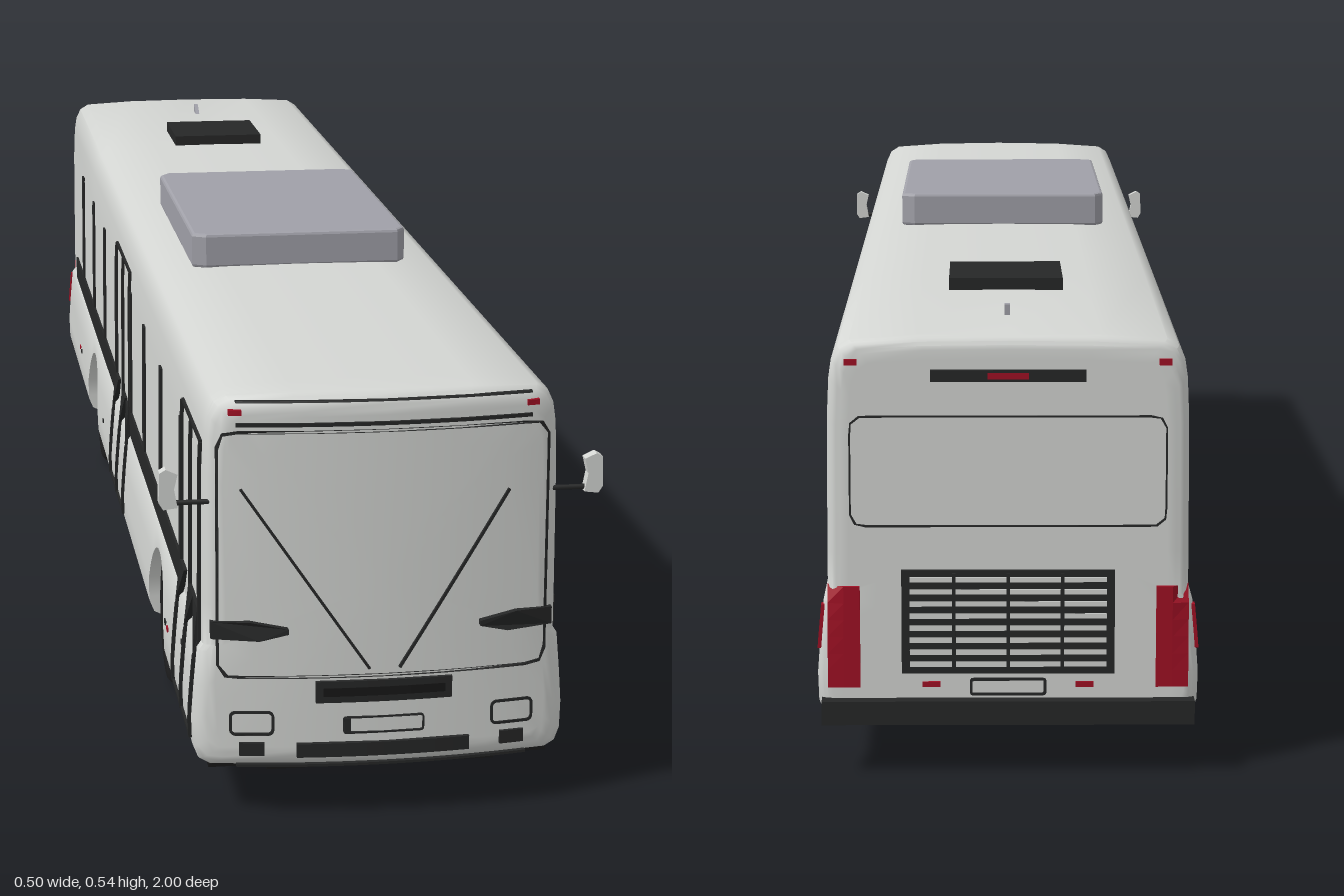
import * as THREE from 'three';
import { toCreasedNormals } from 'three/addons/utils/BufferGeometryUtils.js';

const mat = (name, color) => Object.assign(new THREE.MeshStandardMaterial({ color }), { name });
const ZF = 0.995, ZB = 0.985, CY = 0.275, FLOOR = 0.057;
const AXLES = [-0.45, 0.55], WHEEL_Y = 0.083, ARCH_R = 0.092, ARCH_IN = 0.13;

// Half cross-section of the body shell, sill to roof centre
const PROFILE = [[0.193, 0.057], [0.205, 0.063], [0.211, 0.078], [0.212, 0.11], [0.209, 0.15], [0.205, 0.193],
  [0.2, 0.2], [0.2, 0.25], [0.199, 0.4], [0.197, 0.445], [0.194, 0.465], [0.187, 0.48], [0.174, 0.488], [0.1, 0.492], [0, 0.493]];

function sideX(y) {
  for (let i = 0; i < 11; i++) {
    const [x0, y0] = PROFILE[i], [x1, y1] = PROFILE[i + 1];
    if (y <= y1) return x0 + (x1 - x0) * Math.max(0, (y - y0) / (y1 - y0));
  }
  return PROFILE[11][0];
}

// Distance of the end wall from the middle, with rounded corners
function endZ(x, y, front) {
  const r = front ? 0.02 : 0.015;
  const d = Math.max(0, Math.min(sideX(y) - Math.abs(x), 0.493 - y, r));
  const round = r - Math.sqrt(r * r - (r - d) ** 2);
  return (front ? ZF - 0.5 * x * x : ZB) - round;
}

function remap(geo, rule) {
  const p = geo.attributes.position;
  for (let i = 0; i < p.count; i++) p.setXYZ(i, ...rule(p.getX(i), p.getY(i), p.getZ(i)));
  geo.computeVertexNormals();
  return geo;
}
const onFront = g => remap(g, (x, y, d) => [x, y, endZ(x, y, true) + d]);
const onBack = g => remap(g, (x, y, d) => [-x, y, -endZ(x, y, false) - d]);
const onSide = (g, s) => remap(g, (a, y, d) => [s * (sideX(y) + d), y, -s * a]);

// Flat pieces, later wrapped onto a wall
const plate = (x, y, w, h, d = 0.006, rot = 0) =>
  new THREE.BoxGeometry(w, h, d, Math.ceil(w / 0.02), Math.ceil(h / 0.02), 1).toNonIndexed().rotateZ(rot).translate(x, y, 0);
const extrude = (shape, depth = 0.007) =>
  new THREE.ExtrudeGeometry(shape, { depth, bevelEnabled: false }).translate(0, 0, -0.003);
const polygon = pts => new THREE.Shape(pts.map(p => new THREE.Vector2(...p)));
function rounded(w, h, r) {
  const s = new THREE.Shape();
  s.absarc(w / 2 - r, h / 2 - r, r, 0, Math.PI / 2);
  s.absarc(r - w / 2, h / 2 - r, r, Math.PI / 2, Math.PI);
  s.absarc(r - w / 2, r - h / 2, r, Math.PI, Math.PI * 1.5);
  s.absarc(w / 2 - r, r - h / 2, r, Math.PI * 1.5, Math.PI * 2);
  s.closePath();
  return s.getSpacedPoints(72);
}
function frame(x, y, w, h, r, t) {
  const shape = new THREE.Shape(rounded(w, h, r));
  shape.holes.push(new THREE.Path(rounded(w - 2 * t, h - 2 * t, r - t)));
  return extrude(shape, 0.005).translate(x, y, 0);
}

function bodyGeometry() {
  // Stations along z: [z, scale in x, scale in y, bottom edge, front bulge]
  const st = [];
  const end = (sign, zEnd, r) => {
    const out = [];
    for (let i = 0; i <= 5; i++) {
      const a = i / 5 * Math.PI / 2, d = r * (1 - Math.cos(a));
      out.push([sign * (zEnd - r + r * Math.sin(a)), 1 - d / 0.2, 1 - d / 0.216, FLOOR, sign > 0]);
    }
    for (const s of [0.88, 0.7, 0.5, 0.3, 0.12, 0]) out.push([sign * zEnd, s, s, FLOOR, sign > 0]);
    return out;
  };
  st.push(...end(-1, ZB, 0.015).reverse());
  for (const c of AXLES) {
    st.push([c - ARCH_R - 0.0005, 1, 1, FLOOR]);
    for (let i = 0; i <= 20; i++) {
      const a = Math.PI * (1 - i / 20);
      st.push([c + ARCH_R * Math.cos(a), 1, 1, WHEEL_Y + ARCH_R * Math.sin(a)]);
    }
    st.push([c + ARCH_R + 0.0005, 1, 1, FLOOR]);
  }
  st.push([0.93, 1, 1, FLOOR], ...end(1, ZF, 0.02));

  const pos = [], idx = [];
  let n = 0;
  for (const [z, sx, sy, low, bulge] of st) {
    const half = [[0, FLOOR], [ARCH_IN, FLOOR], [ARCH_IN, low],
      ...PROFILE.map(([x, y]) => y < low ? [sideX(low), low] : [x, y])];
    const ring = [...half, ...half.slice(0, -1).reverse().map(([x, y]) => [-x, y])];
    n = ring.length;
    for (const [x, y] of ring) pos.push(x * sx, CY + (y - CY) * sy, bulge ? z - 0.5 * (x * sx) ** 2 : z);
  }
  for (let i = 0; i < st.length - 1; i++) for (let j = 0; j < n - 1; j++) {
    const a = i * n + j, d = a + n;
    idx.push(a, a + 1, d + 1, a, d + 1, d);
  }
  const g = new THREE.BufferGeometry();
  g.setAttribute('position', new THREE.Float32BufferAttribute(pos, 3));
  g.setIndex(idx);
  return toCreasedNormals(g, 0.6);
}

export function createModel() {
  const body = mat('bodyPaint', 0xd4d6d3), black = mat('blackTrim', 0x262727), tyre = mat('tyreRubber', 0x1f1f20),
    grey = mat('roofUnitGrey', 0xa0a0a8), red = mat('lampRed', 0xa01024), rim = mat('rimGrey', 0x6c6f70),
    under = mat('underside', 0x171717);
  const bus = new THREE.Group();
  bus.name = 'bus';
  const add = (name, geo, m, parent = bus) => {
    const mesh = new THREE.Mesh(geo, m);
    mesh.name = name;
    parent.add(mesh);
    return mesh;
  };
  const box = (x0, x1, y0, y1, z0, z1) =>
    new THREE.BoxGeometry(x1 - x0, y1 - y0, z1 - z0).translate((x0 + x1) / 2, (y0 + y1) / 2, (z0 + z1) / 2);

  // Shell, floor and roof equipment
  add('bodyShell', bodyGeometry(), body);
  add('floor', box(-ARCH_IN, ARCH_IN, 0.052, 0.0565, -0.975, 0.975), under);
  for (const [z0, z1] of [[-0.975, -0.543], [-0.357, 0.457], [0.643, 0.96]])
    for (const x of [-0.162, 0.162]) add('floorSide', box(x - 0.032, x + 0.032, 0.052, 0.0565, z0, z1), under);
  const unit = new THREE.ExtrudeGeometry(new THREE.Shape(rounded(0.272, 0.422, 0.008)),
    { depth: 0.037, bevelThickness: 0.004, bevelSize: 0.004, bevelSegments: 2 });
  add('roofUnit', unit.rotateX(-Math.PI / 2).translate(0, 0.494, 0.135), grey);
  add('roofHatch', box(-0.068, 0.068, 0.488, 0.507, -0.665, -0.53), black);
  const fin = extrude(polygon([[0.815, 0.49], [0.85, 0.49], [0.85, 0.505], [0.84, 0.505]]), 0.006);
  add('roofFin', fin.rotateY(Math.PI / 2), grey);

  // Wheels
  const tyreGeo = (w) => new THREE.LatheGeometry([[0.052, -w / 2], [0.074, -w / 2], [0.081, -w / 2 + 0.007],
    [0.083, 0], [0.081, w / 2 - 0.007], [0.074, w / 2], [0.054, w / 2], [0.05, w / 2 - 0.008]]
    .map(p => new THREE.Vector2(...p)), 40);
  function wheel(s, z, dual) {
    const g = new THREE.Group();
    g.name = dual ? 'rearWheel' : 'frontWheel';
    add('tyre', tyreGeo(0.062), tyre, g);
    add('rimDish', new THREE.CylinderGeometry(0.053, 0.053, 0.042, 32).translate(0, 0, 0), black, g);
    add('rimRing', new THREE.TorusGeometry(0.051, 0.003, 6, 36).rotateX(Math.PI / 2).translate(0, 0.027, 0), rim, g);
    for (let i = 0; i < 10; i++)
      add('spoke', new THREE.BoxGeometry(0.034, 0.007, 0.008).translate(0.032, 0.022, 0).rotateY(i * Math.PI / 5), rim, g);
    add('hub', new THREE.CylinderGeometry(0.014, 0.018, 0.012, 20).translate(0, 0.026, 0), rim, g);
    if (dual) {
      add('innerTyre', tyreGeo(0.044).translate(0, -0.06, 0), tyre, g);
      add('innerDisc', new THREE.CylinderGeometry(0.053, 0.053, 0.04, 32).translate(0, -0.06, 0), black, g);
    }
    g.rotation.z = -s * Math.PI / 2;
    g.position.set(s * 0.168, WHEEL_Y, z);
    bus.add(g);
  }

  // Side trim; z positions are given along the bus
  const side = (name, s, z, y, w, h, m = black, d = 0.006) => add(name, onSide(plate(-s * z, y, w, h, d), s), m);
  const pillars = [-0.74, -0.525, -0.32, -0.115, 0.11, 0.305, 0.52, 0.755];
  for (const s of [-1, 1]) {
    for (const z of AXLES) wheel(s, z, z < 0);
    for (const z of pillars) side('windowPillar', s, z, 0.31, 0.021, 0.19);
    const belts = s > 0 ? [[-0.895, 0.95]] : [[-0.895, -0.115], [0.11, 0.755]];
    for (const [a, b] of belts) side('beltStripe', s, (a + b) / 2, 0.218, b - a, 0.035);
    for (const [z, y] of [[0.83, 0.155], [0.69, 0.122], [0.665, 0.122], [-0.25, 0.122], [-0.68, 0.122], [-0.71, 0.122]])
      side('sideMarker', s, z, y, 0.012, 0.005, z === 0.69 || z === -0.71 ? red : black, 0.003);
  }
  // Doors on the right side
  for (const [a, b] of [[-0.105, 0.1], [0.765, 0.945]]) {
    const mid = (a + b) / 2;
    for (const z of [a, mid, b]) side('doorSeam', -1, z, 0.257, 0.006, 0.345, black, 0.008);
    side('doorTop', -1, mid, 0.43, b - a, 0.004);
    side('doorBottom', -1, mid, 0.085, b - a, 0.004);
    for (const [z, dir] of [[a, 1], [b, -1], [mid, 1]]) {
      const wedge = polygon([[z, 0.236], [z, 0.185], [z + dir * 0.045, 0.236]]);
      add('doorWedge', onSide(extrude(wedge), -1), black);
    }
  }

  // Front
  const front = (name, geo, m = black) => add(name, onFront(geo), m);
  front('windscreenSeal', frame(0, 0.308, 0.374, 0.286, 0.016, 0.003));
  front('brandlessHeaderLine', plate(0, 0.458, 0.33, 0.004)).name = 'headerLine';
  front('roofLine', plate(0, 0.4835, 0.33, 0.002));
  front('grille', plate(0, 0.149, 0.154, 0.025, 0.009));
  front('grilleSlot', plate(0, 0.149, 0.138, 0.01, 0.0105), under);
  front('bumperIntake', plate(0, 0.08, 0.196, 0.016, 0.009));
  front('bumperLine', plate(0, 0.062, 0.33, 0.003));
  front('plateFrame', frame(0, 0.108, 0.092, 0.02, 0.003, 0.0018));
  front('plateBand', plate(-0.041, 0.108, 0.007, 0.018));
  for (const s of [-1, 1]) {
    const [tx, ty] = s < 0 ? [-0.16, 0.385] : [0.14, 0.375], bx = s * 0.017, by = 0.175;
    front('wiper', plate((tx + bx) / 2, (ty + by) / 2, Math.hypot(tx - bx, ty - by), 0.003, 0.008, Math.atan2(ty - by, tx - bx)));
    front('markerLamp', plate(s * 0.166, 0.472, 0.014, 0.006), red);
    front('headlampFrame', frame(s * 0.148, 0.112, 0.05, 0.029, 0.007, 0.003));
    front('fogLamp', plate(s * 0.148, 0.082, 0.028, 0.015, 0.008));
    const fin = [[0.193, 0.212], [0.193, 0.232], [0.15, 0.233], [0.108, 0.225], [0.108, 0.219], [0.14, 0.211]];
    front('cornerFin', extrude(polygon(fin.map(([x, y]) => [s * x, y])), 0.011));
    // Mirrors
    add('mirrorArm', new THREE.CylinderGeometry(0.003, 0.003, 0.062, 8).rotateZ(Math.PI / 2).translate(s * 0.203, 0.368, 0.968), black);
    const head = polygon([[0.228, 0.364], [0.244, 0.362], [0.249, 0.37], [0.248, 0.404], [0.241, 0.408], [0.228, 0.402], [0.232, 0.385]]
      .map(([x, y]) => [s * x, y]));
    add('mirrorHead', extrude(head, 0.014).translate(0, 0, 0.964), body);
  }

  // Back
  const back = (name, geo, m = black) => add(name, onBack(geo), m);
  add('rearBumper', box(-0.207, 0.207, 0.057, 0.084, -1, -0.965), black);
  back('rearWindowSeal', frame(0, 0.342, 0.35, 0.125, 0.014, 0.002));
  back('rearGrille', plate(0, 0.172, 0.236, 0.118, 0.008));
  for (let i = 0; i < 8; i++) back('grilleSlat', plate(0, 0.124 + i * 0.0138, 0.218, 0.0055, 0.012), body);
  for (const x of [-0.06, 0, 0.06]) back('grilleRib', plate(x, 0.172, 0.004, 0.112, 0.014));
  back('rearPlateFrame', frame(0, 0.097, 0.085, 0.02, 0.003, 0.003));
  back('brakeLightBar', plate(0, 0.449, 0.17, 0.013, 0.008));
  back('brakeLight', plate(0, 0.449, 0.045, 0.007, 0.011), red);
  for (const s of [-1, 1]) {
    back('tailLamp', plate(s * 0.182, 0.155, 0.036, 0.115, 0.009), red);
    back('rearMarker', plate(s * 0.172, 0.464, 0.014, 0.007), red);
    back('rearReflector', plate(s * 0.085, 0.1, 0.02, 0.006), red);
    side('tailLampWrap', s, -0.975, 0.165, 0.01, 0.05, red, 0.004);
  }
  return bus;
}
